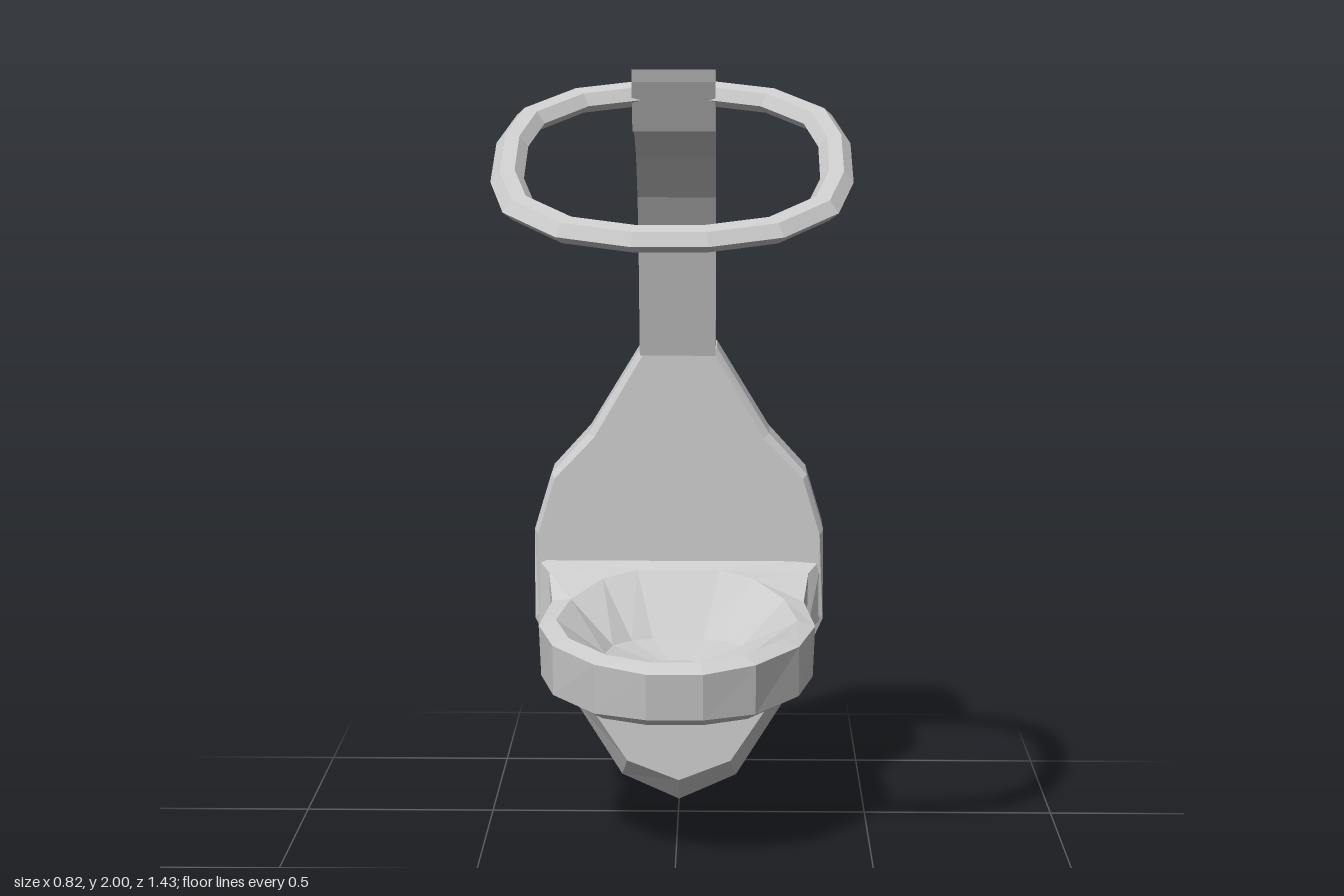
import * as THREE from 'three';

const material = new THREE.MeshStandardMaterial({ color: 0xcccccc, flatShading: true });

// Completes a +x half outline with its mirror image
const mirror = (half) => [
  ...half,
  ...half.filter((p) => p[0] > 0).reverse().map(([x, y, z]) => [-x, y, z]),
];

// Skins successive loops of points; ends are fanned shut, or joined when wrap is set
function loft(loops, wrap = false) {
  const pos = [];
  const tri = (a, b, c) => pos.push(...a, ...b, ...c);
  const n = loops[0].length;
  const bands = wrap ? loops.length : loops.length - 1;
  for (let k = 0; k < bands; k++) {
    const a = loops[k], b = loops[(k + 1) % loops.length];
    for (let i = 0; i < n; i++) {
      const j = (i + 1) % n;
      tri(a[i], a[j], b[j]);
      tri(a[i], b[j], b[i]);
    }
  }
  if (!wrap) {
    const middle = (l) => [0, 1, 2].map((c) => l.reduce((s, p) => s + p[c], 0) / n);
    const first = loops[0], last = loops[loops.length - 1];
    const m0 = middle(first), m1 = middle(last);
    for (let i = 0; i < n; i++) {
      const j = (i + 1) % n;
      tri(m0, first[j], first[i]);
      tri(m1, last[i], last[j]);
    }
  }
  const geo = new THREE.BufferGeometry();
  geo.setAttribute('position', new THREE.Float32BufferAttribute(pos, 3));
  geo.computeVertexNormals();
  return geo;
}

function part(name, geometry) {
  const mesh = new THREE.Mesh(geometry, material);
  mesh.name = name;
  return mesh;
}

// Leaf-shaped wall plate with a bevel that widens towards the bottom tip
function backPlate() {
  const edge = [
    [0, 0, -0.615], [0.155, 0.07, -0.615], [0.285, 0.28, -0.615], [0.385, 0.52, -0.56],
    [0.385, 0.76, -0.575], [0.34, 0.91, -0.575], [0.24, 1.02, -0.575], [0.1, 1.25, -0.575],
  ];
  const face = [
    [0, 0.07], [0.14, 0.125], [0.255, 0.3], [0.375, 0.53],
    [0.375, 0.75], [0.33, 0.9], [0.225, 1.01], [0.09, 1.24],
  ].map(([x, y]) => [x, y, -0.555]);
  const back = edge.map(([x, y]) => [x, y, -0.72]);
  return part('backPlate', loft([back, edge, face].map(mirror)));
}

// Dished tray growing out of the plate
function tray() {
  const under = [
    [0.07, 0.4, 0.08], [0.18, 0.4, 0.02], [0.28, 0.415, -0.1], [0.31, 0.43, -0.25],
    [0.29, 0.45, -0.42], [0.32, 0.49, -0.51], [0.36, 0.52, -0.57],
  ];
  const lower = [
    [0.07, 0.42, 0.11], [0.2, 0.42, 0.05], [0.31, 0.43, -0.09], [0.35, 0.44, -0.25],
    [0.325, 0.46, -0.42], [0.34, 0.49, -0.5], [0.383, 0.52, -0.57],
  ];
  const upper = [
    [0.07, 0.54, 0.13], [0.2, 0.55, 0.07], [0.31, 0.56, -0.08], [0.355, 0.575, -0.24],
    [0.33, 0.6, -0.41], [0.345, 0.65, -0.53], [0.383, 0.685, -0.57],
  ];
  const rim = [
    [0.06, 0.56, 0.085], [0.17, 0.565, 0.03], [0.27, 0.575, -0.1], [0.31, 0.59, -0.24],
    [0.28, 0.61, -0.39], [0.2, 0.645, -0.48], [0.11, 0.66, -0.52],
  ];
  const dish = (s, y) => rim.map(([x, , z]) => [x * s, y, -0.24 + (z + 0.24) * s]);
  return part('tray', loft([under, lower, upper, rim, dish(0.6, 0.5), dish(0.2, 0.47)].map(mirror)));
}

// Curved arm: side profile as (z, y), extruded across x
function arm() {
  const profile = [
    [-0.72, 1.25], [-0.555, 1.23], [-0.47, 1.53], [-0.395, 1.66], [-0.285, 1.77],
    [-0.19, 1.82], [-0.125, 1.84], [-0.01, 1.85], [0, 1.87], [0.05, 1.97], [0.06, 2],
    [-0.16, 1.985], [-0.275, 1.96], [-0.365, 1.91], [-0.47, 1.82], [-0.55, 1.72], [-0.62, 1.58],
  ];
  const shape = new THREE.Shape(profile.map(([z, y]) => new THREE.Vector2(z, y)));
  const geo = new THREE.ExtrudeGeometry(shape, { depth: 0.2, bevelEnabled: false });
  geo.rotateY(-Math.PI / 2).translate(0.097, 0, 0);
  return part('arm', geo);
}

// Rounded-square hoop with a hexagonal section, tilted down to the front
function hoop() {
  const quarter = [[0.41, 0.1], [0.372, 0.25], [0.25, 0.365], [0.085, 0.41]];
  const right = [...quarter.map(([x, z]) => [x, 0, z]).reverse(), ...quarter.map(([x, z]) => [x, 0, -z])];
  const outline = mirror(right);
  const section = [[0, 0], [-0.022, 0.025], [-0.055, 0.025], [-0.075, 0], [-0.055, -0.025], [-0.022, -0.025]];
  const loops = section.map(([inset, y]) => {
    const s = 1 + inset / 0.41;
    return outline.map(([x, , z]) => [x * s, y, z * s]);
  });
  const mesh = part('hoop', loft(loops, true));
  mesh.position.set(0, 1.8, 0.335);
  mesh.rotation.x = 0.39;
  return mesh;
}

export function createModel() {
  const model = new THREE.Group();
  model.name = 'wallBracket';
  model.add(backPlate(), tray(), arm(), hoop());
  return model;
}
